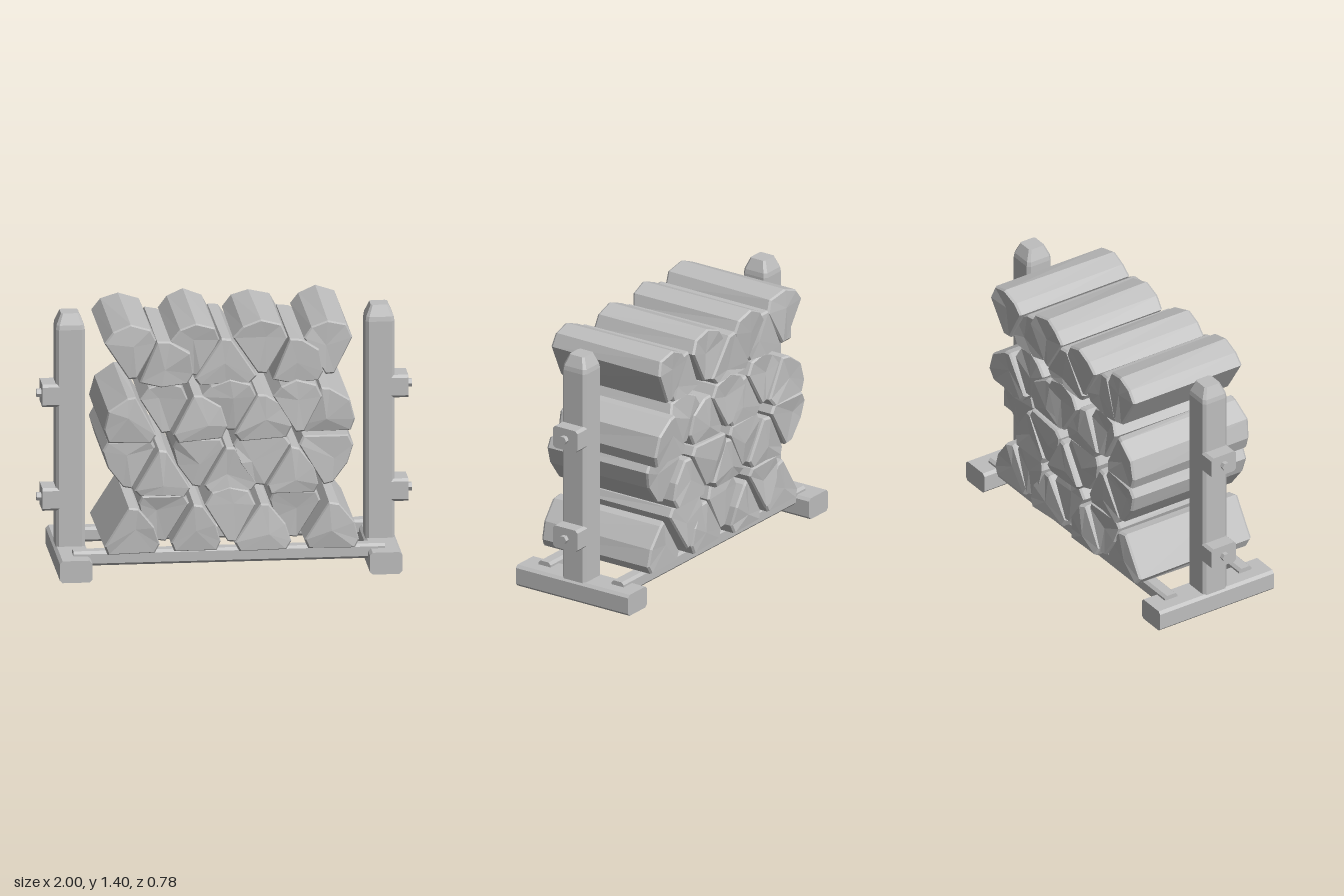
import * as THREE from 'three';

const grey = new THREE.MeshStandardMaterial({ color: 0xbebebe });
grey.name = 'plain grey';

// small seeded random in -1..1
let seed = 7;
const jitter = (s) => {
  seed = (seed * 16807) % 2147483647;
  return ((seed / 2147483647) * 2 - 1) * s;
};

// faceted solid through rings of [x, y, z], ordered from +z to -z, each counter-clockwise
function loft(rings, frontTip, backTip) {
  const pos = [];
  const n = rings[0].length;
  const last = rings[rings.length - 1];
  for (let i = 0; i < n; i++) {
    const j = (i + 1) % n;
    pos.push(...frontTip, ...rings[0][i], ...rings[0][j]);
    for (let r = 0; r < rings.length - 1; r++) {
      const a = rings[r], b = rings[r + 1];
      pos.push(...a[i], ...b[i], ...b[j], ...a[i], ...b[j], ...a[j]);
    }
    pos.push(...backTip, ...last[j], ...last[i]);
  }
  const geo = new THREE.BufferGeometry();
  geo.setAttribute('position', new THREE.Float32BufferAttribute(pos, 3));
  geo.computeVertexNormals();
  return geo;
}

// rectangle with cut corners
const cutRect = (w, h, c) => [
  [w, -h + c], [w, h - c], [w - c, h], [-w + c, h],
  [-w, h - c], [-w, -h + c], [-w + c, -h], [w - c, -h],
];

// bar along z with a cut-corner section, centred on the origin
function bar(w, h, len, c) {
  const p = cutRect(w / 2, h / 2, c);
  const ring = (z) => p.map(([x, y]) => [x, y, z]);
  return loft([ring(len / 2), ring(-len / 2)], [0, 0, len / 2], [0, 0, -len / 2]);
}

function add(parent, name, geo, x = 0, y = 0, z = 0) {
  const mesh = new THREE.Mesh(geo, grey);
  mesh.name = name;
  mesh.position.set(x, y, z);
  parent.add(mesh);
}

// split-log sections in a unit box
const sections = {
  wedge: [[0, .68], [.17, .88], [.5, 1], [.88, .9], [1, .66], [.62, 0], [.46, 0]],
  half: [[0, .17], [.46, 1], [.62, .97], [.9, .55], [1, .18], [.92, 0], [.08, 0]],
  quarter: [[0, .16], [.4, 1], [.54, .98], [.9, .72], [1, .3], [.91, .05], [.1, 0]],
  shoulder: [[0, .1], [.34, 1], [.57, .98], [.93, .72], [1, .26], [.9, .06], [.4, 0]],
  triangle: [[0, .14], [.43, 1], [.59, 1], [1, .16], [.9, 0], [.5, .01], [.08, 0]],
};
const flip = (p, fx, fy) => p.map(([x, y]) => [fx ? 1 - x : x, fy ? 1 - y : y]);
sections.halfTurned = flip(sections.half, true, true);
sections.halfDown = flip(sections.half, false, true);
sections.quarterMirrored = flip(sections.quarter, true, false);

// rows of logs: bottom, top, then [section, left, right, front z, back z]
const rows = [
  [.15, .405, [['half', -.68, -.38, .38, -.35], ['half', -.32, -.05, .35, -.37],
    ['half', .02, .32, .37, -.36], ['half', .39, .685, .375, -.345]]],
  [.20, .46, [['halfTurned', -.49, -.22, .34, -.36], ['halfTurned', .21, .48, .34, -.36]]],
  [.20, .50, [['wedge', -.14, .13, .36, -.34]]],
  [.46, .71, [['triangle', -.51, -.22, .37, -.37], ['half', .19, .47, .36, -.37]]],
  [.47, .71, [['triangle', -.14, .14, .34, -.38]]],
  [.50, .765, [['halfTurned', -.68, -.40, .35, -.385], ['halfTurned', -.31, -.03, .35, -.36],
    ['halfTurned', .02, .32, .34, -.38], ['halfDown', .36, .655, .36, -.31]]],
  [.755, 1.01, [['quarterMirrored', -.68, -.40, .38, -.38], ['quarter', -.31, -.02, .36, -.37],
    ['quarter', .02, .32, .385, -.36], ['quarter', .37, .675, .275, -.38]]],
  [.80, 1.085, [['wedge', -.48, -.23, .35, -.36], ['wedge', -.15, .14, .34, -.385],
    ['wedge', .22, .485, .385, -.35]]],
  [1.06, 1.31, [['shoulder', -.49, -.20, .365, -.36], ['triangle', -.19, .14, .34, -.385],
    ['shoulder', .22, .49, .37, -.35]]],
  [1.10, 1.395, [['wedge', -.67, -.39, .34, -.37], ['wedge', -.315, -.05, .32, -.385],
    ['wedge', .02, .31, .30, -.37], ['wedge', .39, .655, .335, -.385]]],
];

// split log: narrow bevelled rims and slightly tilted ends with an off-centre peak or dent
function logGeometry(kind, x0, x1, y0, y1, zf, zb) {
  let p = sections[kind].map(([u, v]) => [x0 + u * (x1 - x0), y0 + v * (y1 - y0)]);
  if (THREE.ShapeUtils.isClockWise(p.map(([x, y]) => new THREE.Vector2(x, y)))) p = p.reverse();
  const cx = p.reduce((s, q) => s + q[0], 0) / p.length;
  const cy = p.reduce((s, q) => s + q[1], 0) / p.length;
  const end = (z, dir) => {
    const rim = [], face = [];
    const tiltX = jitter(.06), tiltY = jitter(.06);
    for (const [px, py] of p) {
      const x = px + jitter(.004), y = py + jitter(.004);
      const d = z - dir * (.01 + jitter(.008)) + (x - cx) * tiltX + (y - cy) * tiltY;
      rim.push([x, y, d - dir * .012]);
      face.push([cx + (x - cx) * .94, cy + (y - cy) * .94, d]);
    }
    const tip = [cx + jitter(.035), cy + jitter(.035), z - dir * (.008 + jitter(.014))];
    return { rim, face, tip };
  };
  const f = end(zf, 1), b = end(zb, -1);
  return loft([f.face, f.rim, b.rim, b.face], f.tip, b.tip);
}

// post: shaft with cut corners and a sloped cap
function postGeometry() {
  const ring = (s, y) => cutRect(.077 * s, .077 * s, .016 * s).map(([x, z]) => [x, z, y]);
  return loft([ring(.62, 1.395), ring(.95, 1.335), ring(1, 1.31), ring(1, .11)],
    [0, 0, 1.395], [0, 0, .11]).rotateX(-Math.PI / 2);
}

export function createModel() {
  const model = new THREE.Group();
  model.name = 'firewoodRack';

  // stacked logs
  const stack = new THREE.Group();
  stack.name = 'logStack';
  model.add(stack);
  for (const [y0, y1, logs] of rows) {
    for (const [kind, x0, x1, zf, zb] of logs) {
      add(stack, 'splitLog', logGeometry(kind, x0, x1, y0, y1, zf, zb));
    }
  }

  // rails under the logs
  for (const z of [.238, -.238]) {
    add(model, 'rail', bar(.08, .08, 1.66, .014).rotateY(Math.PI / 2), 0, .105, z);
  }

  // foot, post, blocks and bolts on each side
  for (const s of [1, -1]) {
    const side = new THREE.Group();
    side.name = s > 0 ? 'leftFrame' : 'rightFrame';
    model.add(side);
    add(side, 'foot', bar(.173, .12, .73, .015), s * .826, .06, 0);
    add(side, 'post', postGeometry(), s * .825, 0, 0);
    for (const y of [.38, .95]) {
      add(side, 'block', bar(.16, .124, .09, .014).rotateY(Math.PI / 2), s * .93, y, 0);
      const bolt = new THREE.CylinderGeometry(.024, .024, .06, 6).toNonIndexed();
      bolt.computeVertexNormals();
      bolt.rotateZ(Math.PI / 2);
      add(side, 'bolt', bolt, s * .97, y, 0);
    }
  }
  return model;
}
